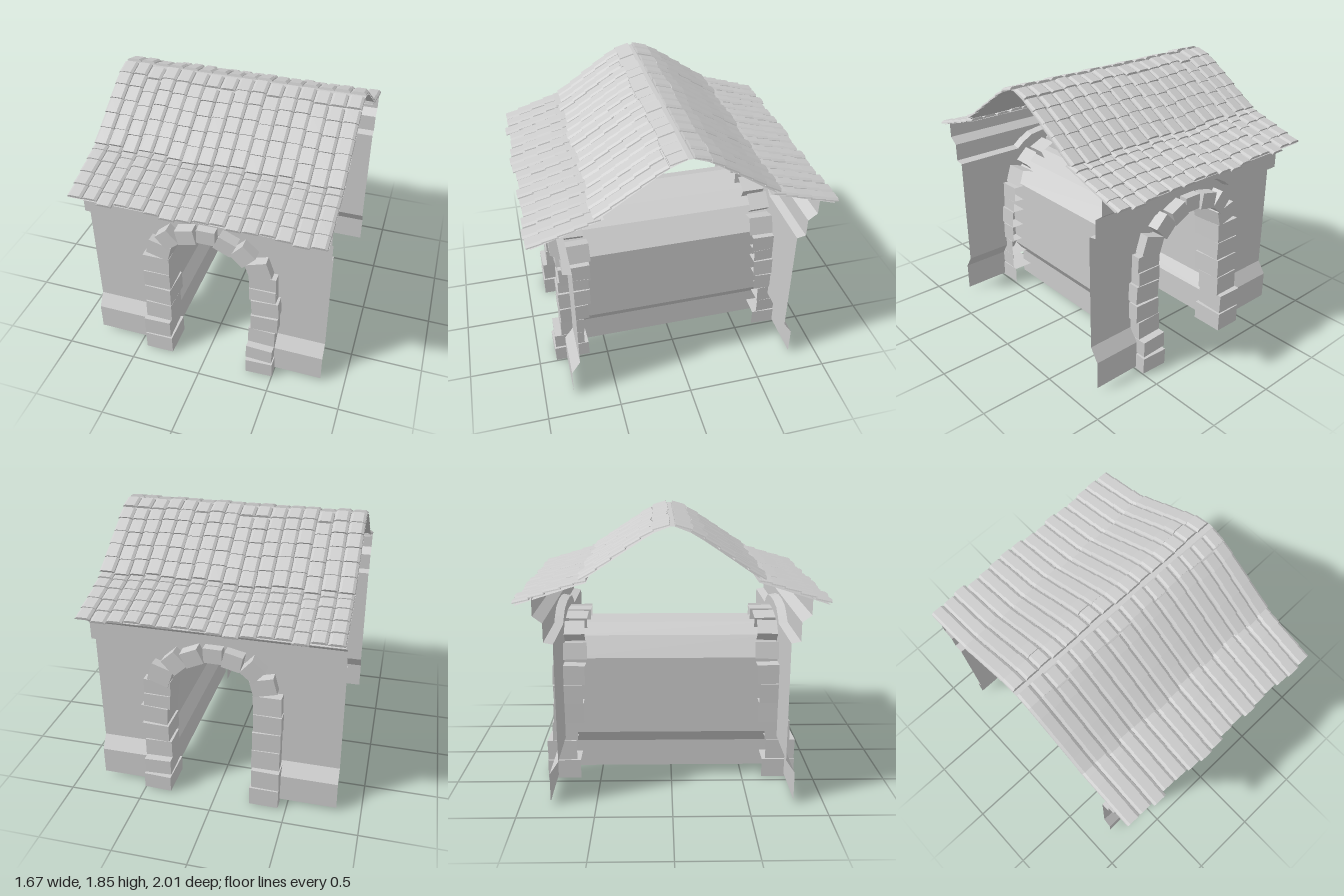
import * as THREE from 'three';
import { mergeGeometries } from 'three/addons/utils/BufferGeometryUtils.js';

const stoneMat = new THREE.MeshStandardMaterial({ color: 0xcccccc, flatShading: true });
const sheetMat = new THREE.MeshStandardMaterial({ color: 0xcccccc, flatShading: true, side: THREE.DoubleSide });

function add(parent, name, geometry, material = sheetMat) {
  const mesh = new THREE.Mesh(geometry, material);
  mesh.name = name;
  parent.add(mesh);
  return mesh;
}

// Open surface through a list of equally long polylines of [x, y, z]
function sheet(lines) {
  const n = lines[0].length, index = [];
  for (let i = 0; i < lines.length - 1; i++)
    for (let j = 0; j < n - 1; j++) {
      const a = i * n + j, b = a + n;
      index.push(a, a + 1, b + 1, a, b + 1, b);
    }
  const g = new THREE.BufferGeometry();
  g.setAttribute('position', new THREE.Float32BufferAttribute(lines.flat(2), 3));
  g.setIndex(index);
  g.computeVertexNormals();
  return g;
}

// Surface swept along x from a [y, z] profile
const sweep = (x0, x1, profile) => sheet([x0, x1].map(x => profile.map(([y, z]) => [x, y, z])));

const HALF = 0.834, WALL = 0.74, BAND = 0.8, CORNICE = 0.86;

// Moulding line that rises over the arch
const moulding = [[-HALF, 1.1], [-0.34, 1.1], [-0.29, 1.14], [-0.21, 1.185], [-0.07, 1.205],
  [0.07, 1.205], [0.21, 1.185], [0.29, 1.14], [0.34, 1.1], [HALF, 1.1]];

// Edge of the doorway, hidden inside the arch stones
const doorway = [[-0.35, 0.31], [-0.35, 0.86], [-0.29, 0.97], [-0.13, 1.07], [0.02, 1.09],
  [0.17, 1.06], [0.3, 0.98], [0.4, 0.86], [0.41, 0.31]];

// Arch stones: x, y, width, height, turn, inner z, outer z
const stones = [
  [-0.345, 0.07, 0.2, 0.135, 0.01, 0.64, 0.87], [-0.354, 0.215, 0.19, 0.14, 0, 0.66, 0.865],
  [-0.345, 0.35, 0.19, 0.14, 0, 0.655, 0.83], [-0.345, 0.49, 0.19, 0.14, 0, 0.61, 0.82],
  [-0.352, 0.628, 0.19, 0.135, 0.01, 0.61, 0.81], [-0.35, 0.765, 0.188, 0.135, -0.02, 0.59, 0.81],
  [-0.318, 0.905, 0.16, 0.115, -0.25, 0.58, 0.81], [-0.25, 1.018, 0.115, 0.125, 0.73, 0.6, 0.82],
  [-0.122, 1.067, 0.125, 0.11, 0.22, 0.59, 0.82], [0.012, 1.085, 0.125, 0.105, 0, 0.575, 0.8],
  [0.15, 1.063, 0.125, 0.11, -0.42, 0.58, 0.82], [0.268, 1.005, 0.12, 0.13, -0.75, 0.6, 0.82],
  [0.368, 0.9, 0.15, 0.13, 0.32, 0.575, 0.81],
  [0.4, 0.785, 0.185, 0.135, 0.03, 0.585, 0.8], [0.405, 0.69, 0.182, 0.1, 0.03, 0.6, 0.81],
  [0.423, 0.588, 0.187, 0.125, 0.06, 0.6, 0.82], [0.418, 0.45, 0.187, 0.125, 0.01, 0.62, 0.82],
  [0.406, 0.315, 0.187, 0.125, -0.01, 0.655, 0.82], [0.404, 0.195, 0.185, 0.11, -0.02, 0.66, 0.87],
  [0.404, 0.07, 0.19, 0.115, 0.02, 0.635, 0.88],
];

// Passage section [x, y]: skirting, wall and vault
const passage = [[-0.29, 0.025], [-0.29, 0.22], [-0.35, 0.31], [-0.35, 0.86], [-0.26, 1], [-0.12, 1.06],
  [0.14, 1.06], [0.28, 1], [0.41, 0.86], [0.41, 0.31], [0.35, 0.22], [0.35, 0.025]];

// Roof courses as [z, y], ridge to break and break to eave
const upperCourses = [[0.015, 1.826], [0.11, 1.79], [0.19, 1.742], [0.28, 1.682], [0.37, 1.622],
  [0.46, 1.56], [0.56, 1.495]];
const lowerCourses = [[0.525, 1.488], [0.6, 1.466], [0.68, 1.44], [0.78, 1.408], [0.875, 1.378], [0.97, 1.347]];

const COLUMNS = 16, PITCH = 2 * HALF / COLUMNS;
const slip = [0, 0, 0.022, -0.005, 0, 0.012, 0.025, 0.018, 0, -0.005, 0.015, 0.005, 0, 0.015, 0.025, 0.016];

function roofTiles(s) {
  const w = PITCH / 2, parts = [];
  const outline = new THREE.Shape([[-w, 0], [w, 0], [w - 0.003, 0.007], [w - 0.019, 0.017],
    [0.019 - w, 0.017], [0.003 - w, 0.007]].map(p => new THREE.Vector2(...p)));
  const base = new THREE.ExtrudeGeometry(outline, { depth: 1, bevelEnabled: false });
  for (let c = 0; c < COLUMNS; c++)
    for (const courses of [upperCourses, lowerCourses])
      for (let r = 0; r < courses.length - 1; r++) {
        const [z0, y0] = courses[r], [z1, y1] = courses[r + 1];
        const dz = z1 - z0, dy = y1 - y0 + 0.009;
        const slide = slip[c] * (courses === upperCourses && r === 0 ? 0.4 : 1);
        const g = base.clone();
        g.scale(1 + 0.025 * Math.sin(c * 5 + r * 3), 1, Math.hypot(dz, dy) + 0.008);
        g.rotateX(Math.atan2(-dy, dz));
        const lift = (c < 2 ? 0.005 : 0) + 0.003 * Math.sin(c * 2.3 + r);
        g.translate(s * (-HALF + PITCH * (c + 0.5)), y0 - slide * 0.4 + lift, z0 + slide);
        parts.push(g);
      }
  return mergeGeometries(parts);
}

// Stone block left open at its buried end
function openBlock(w, h, d) {
  const g = new THREE.BoxGeometry(w, h, d);
  g.setIndex([...g.index.array].slice(0, 30));
  g.clearGroups();
  return g;
}

// One facade with its half of the roof; s mirrors x so the back matches the front
function gateEnd(s) {
  const end = new THREE.Group();

  // Wall face with doorway
  const outline = [[-HALF, 0.31], ...doorway, [HALF, 0.31], ...[...moulding].reverse()];
  const wall = new THREE.ShapeGeometry(new THREE.Shape(outline.map(([x, y]) => new THREE.Vector2(s * x, y))));
  add(end, 'facadeWall', wall.translate(0, 0, WALL));

  // Skirting on both sides of the doorway
  for (const [a, b] of [[-HALF, -0.35], [0.41, HALF]])
    add(end, 'facadeSkirting', sweep(s * a, s * b, [[0.025, BAND], [0.22, BAND], [0.31, WALL]]));

  // Moulding, band and cornice
  add(end, 'mouldingLedge', sheet([
    moulding.map(([x, y]) => [s * x, y, WALL]),
    moulding.map(([x, y]) => [s * x, y + 0.012, BAND])]));
  add(end, 'band', sheet([
    moulding.map(([x, y]) => [s * x, y + 0.012, BAND]),
    moulding.map(([x]) => [s * x, 1.235, BAND])]));
  add(end, 'cornice', sweep(-HALF, HALF, [[1.235, BAND], [1.28, CORNICE], [1.39, CORNICE]]));

  // Arch stones
  const arch = new THREE.Group();
  arch.name = 'archStones';
  end.add(arch);
  stones.forEach(([x, y, w, h, turn, z0, z1], i) => {
    const stone = add(arch, 'archStone', openBlock(w, h, z1 - z0), stoneMat);
    stone.position.set(s * x, y, (z0 + z1) / 2);
    stone.rotation.set(0.025 * Math.sin(i * 2.1), s * 0.03 * Math.sin(i * 1.7), s * turn);
  });

  // Roof tiles and the lining beneath them, closed at the ridge
  add(end, 'roofTiles', roofTiles(s), stoneMat);
  for (const courses of [[[0, 1.826], ...upperCourses], lowerCourses])
    add(end, 'roofLining', sweep(-HALF, HALF, courses.map(([z, y]) => [y - 0.002, z])));
  return end;
}

export function createModel() {
  const model = new THREE.Group();
  model.name = 'gatehouse';

  const front = gateEnd(1);
  front.name = 'frontEnd';
  const back = gateEnd(-1);
  back.name = 'backEnd';
  back.rotation.y = Math.PI;
  model.add(front, back);

  // Vaulted passage between the two arches
  add(model, 'passage', sheet([-WALL, WALL].map(z => passage.map(([x, y]) => [x, y, z]))));
  return model;
}
